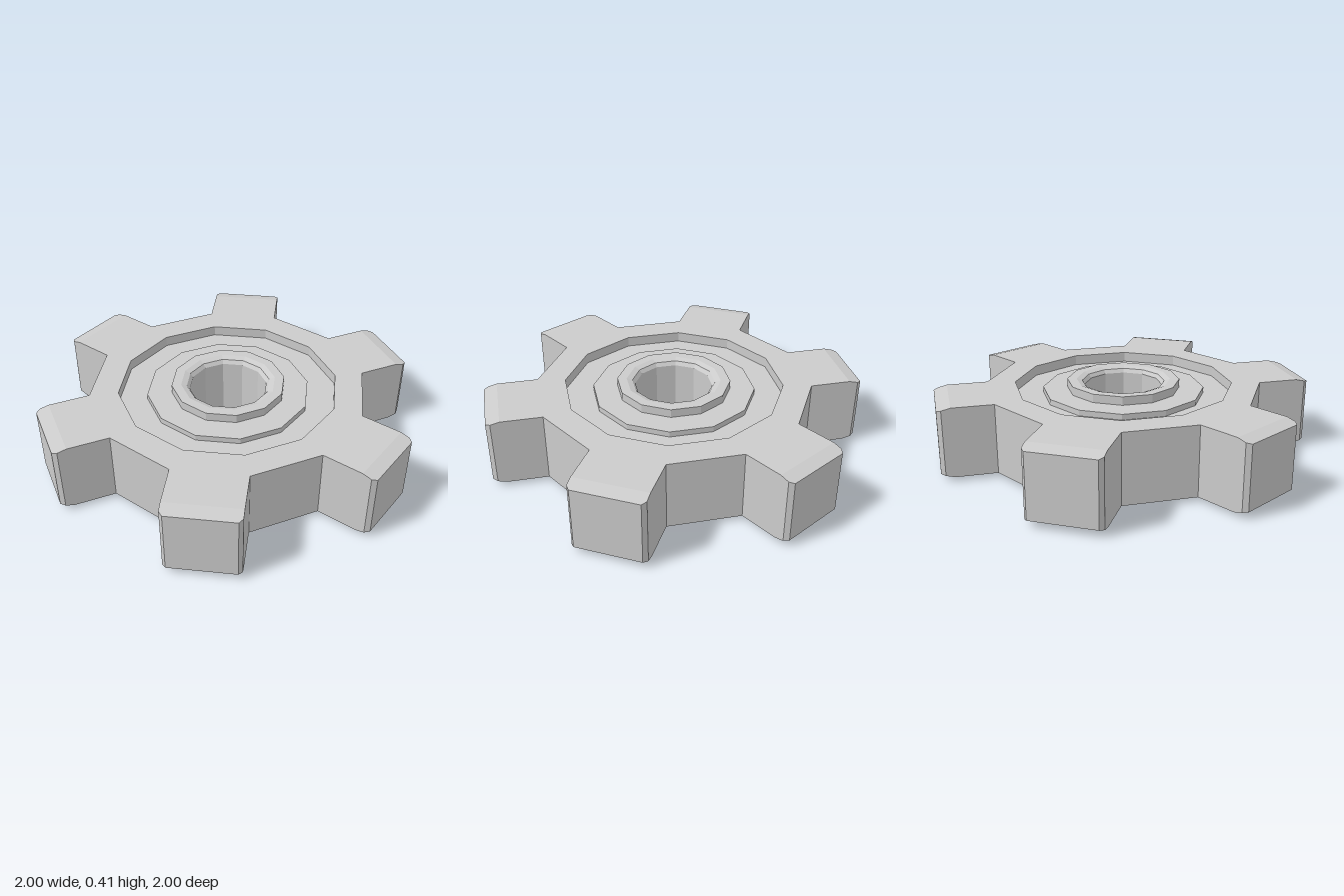
import * as THREE from 'three';

const H = 0.41;          // hub height
const TOP = 0.39;        // top of the gear body (bottom is mirrored)
const ROOT = 0.73;       // corner radius of the 12-sided body
const TEETH = 6;

const material = new THREE.MeshStandardMaterial({ color: 0xcccccc, flatShading: true });

// 12-sided web: recessed ring, stepped ring, raised hub and rounded bore, both faces
function webGeometry() {
  const upper = [
    [ROOT, TOP], [0.58, TOP], [0.58, 0.335], [0.43, 0.335], [0.43, 0.365],
    [0.3, 0.365], [0.3, H], [0.25, H], [0.22, 0.4], [0.205, 0.38],
  ];
  const lower = upper.map(([r, y]) => [r, H - y]).reverse();
  const profile = [...upper, ...lower].map(([r, y]) => new THREE.Vector2(r, y));
  const geometry = new THREE.LatheGeometry(profile, 12).toNonIndexed();
  geometry.computeVertexNormals();
  return geometry;
}

// Tooth outline as [radial, tangential], chamfered at the tip corners
const rootR = ROOT * Math.cos(Math.PI / 12);
const halfW = ROOT * Math.sin(Math.PI / 12);
const side = [[rootR, halfW], [0.92, halfW], [0.967, halfW], [0.99, 0.17]];
const outline = [...side.map(([r, t]) => [r, -t]), ...side.slice().reverse()];

// One tooth, plus the wall of the gap that follows it
function toothGeometry() {
  const positions = [];
  const tri = (...points) => points.forEach((p) => positions.push(...p));

  const place = ([r, t], angle) => {
    const x = r * Math.cos(angle) - t * Math.sin(angle);
    const z = r * Math.sin(angle) + t * Math.cos(angle);
    const y = TOP - Math.max(0, r - 0.92) * 0.25; // tip slopes off
    return { top: [x, y, z], bottom: [x, H - y, z] };
  };
  const start = Math.PI / 12;
  const pts = outline.map((p) => place(p, start));
  pts.push(place(outline[0], start + (Math.PI * 2) / TEETH));

  // Side walls
  for (let i = 0; i < pts.length - 1; i++) {
    const a = pts[i], b = pts[i + 1];
    tri(a.bottom, a.top, b.top);
    tri(a.bottom, b.top, b.bottom);
  }
  // Flat faces and sloping tip faces
  for (const loop of [[0, 1, 6, 7], [1, 2, 3, 4, 5, 6]]) {
    for (let i = 1; i < loop.length - 1; i++) {
      const [a, b, c] = [pts[loop[0]], pts[loop[i]], pts[loop[i + 1]]];
      tri(a.top, c.top, b.top);
      tri(a.bottom, b.bottom, c.bottom);
    }
  }
  const geometry = new THREE.BufferGeometry();
  geometry.setAttribute('position', new THREE.Float32BufferAttribute(positions, 3));
  geometry.computeVertexNormals();
  return geometry;
}

export function createModel() {
  const gear = new THREE.Group();
  gear.name = 'gear';

  const web = new THREE.Mesh(webGeometry(), material);
  web.name = 'hubAndWeb';
  gear.add(web);

  const teeth = new THREE.Group();
  teeth.name = 'teeth';
  const geometry = toothGeometry();
  for (let i = 0; i < TEETH; i++) {
    const tooth = new THREE.Mesh(geometry, material);
    tooth.name = `tooth${i + 1}`;
    tooth.rotation.y = (i * Math.PI * 2) / TEETH;
    teeth.add(tooth);
  }
  gear.add(teeth);
  return gear;
}
